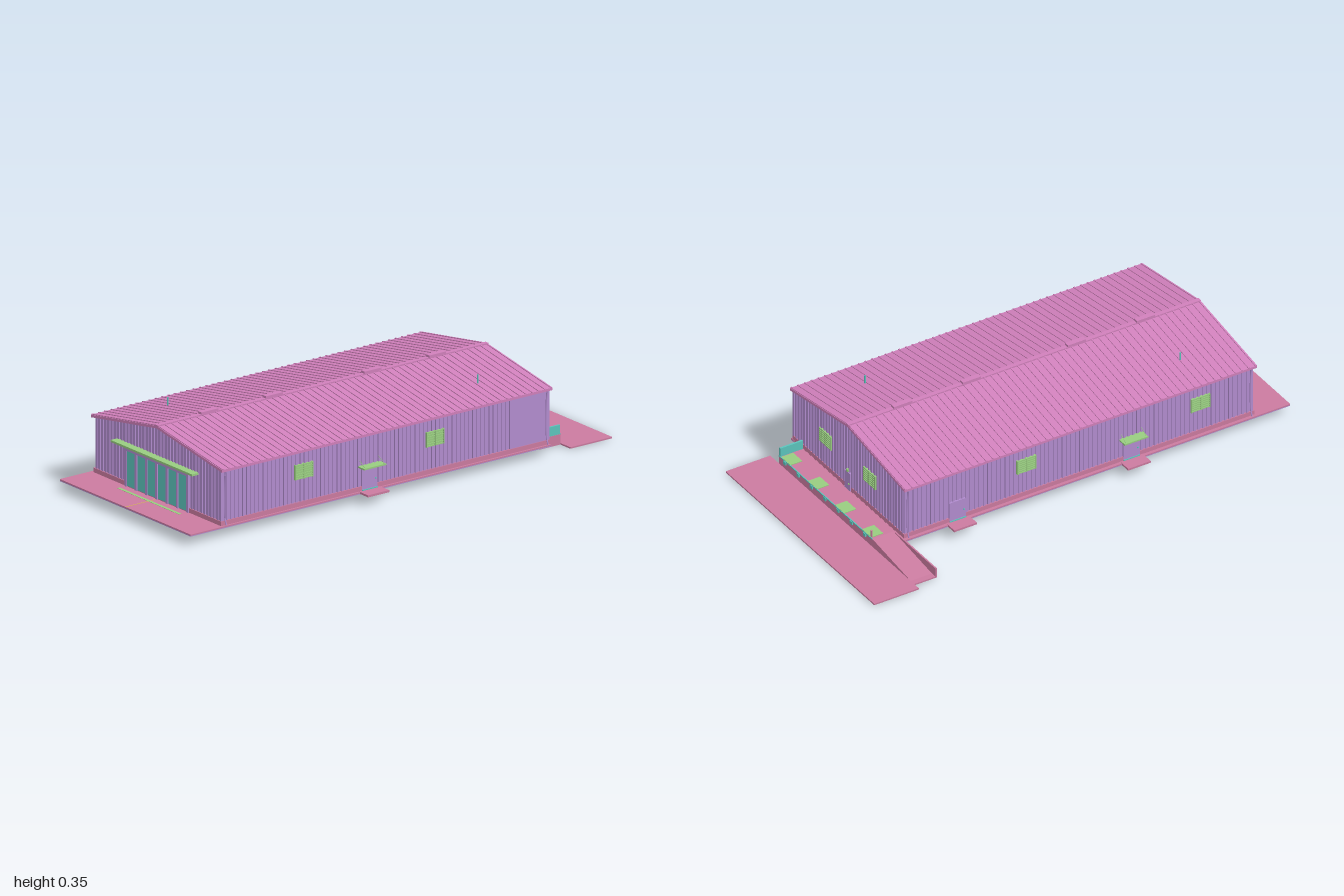
import * as THREE from 'three';
import { mergeGeometries } from 'three/addons/utils/BufferGeometryUtils.js';

const mat = (name, color) => {
  const m = new THREE.MeshStandardMaterial({ color });
  m.name = name;
  return m;
};

export function createModel() {
  const wall = mat('lavender cladding', 0xb28ccf);
  const roofM = mat('pink roof sheet', 0xd080bb);
  const concrete = mat('rose concrete', 0xcb7ba0);
  const green = mat('green trim', 0x98cc80);
  const teal = mat('teal fittings', 0x5cc4bc);
  const yellow = mat('yellow line', 0xd8b060);

  const model = new THREE.Group();
  model.name = 'warehouse';

  // Box geometry given by its limits
  const slab = (x0, x1, y0, y1, z0, z1) =>
    new THREE.BoxGeometry(x1 - x0, y1 - y0, z1 - z0)
      .translate((x0 + x1) / 2, (y0 + y1) / 2, (z0 + z1) / 2);
  const add = (name, geo, m) => {
    const mesh = new THREE.Mesh(geo, m);
    mesh.name = name;
    model.add(mesh);
    return mesh;
  };
  const box = (name, m, ...limits) => add(name, slab(...limits), m);
  // Cross-section in (z, y) swept along x
  const sweep = (points, x0, x1) =>
    new THREE.ExtrudeGeometry(
      new THREE.Shape(points.map(([z, y]) => new THREE.Vector2(-z, y))),
      { depth: x1 - x0, bevelEnabled: false }
    ).rotateY(Math.PI / 2).translate(x0, 0, 0);

  const ZC = 0.1, X0 = -0.845, X1 = 0.698, HALF = 0.386;
  const zF = ZC + HALF, zB = ZC - HALF;
  const roofY = (z) => 0.333 - 0.163 * Math.abs(z - ZC);

  // Ground floor: purple underside, concrete top and plinth
  box('floorUnderside', wall, -1, 0.703, 0.034, 0.037, -0.305, 0.5);
  box('floorSlab', concrete, -1, 0.703, 0.037, 0.042, -0.305, 0.5);
  box('plinth', concrete, X0 - 0.006, X1 + 0.004, 0.042, 0.06, zB - 0.006, zF + 0.006);

  // Wall body with gable ends
  const under = (z) => roofY(z) - 0.009;
  add('wallBody', sweep([[zB, 0.055], [zF, 0.055], [zF, under(zF)], [ZC, under(ZC)], [zB, under(zB)]], X0, X1), wall);

  // Vertical cladding ribs on the long walls and the gables
  const ribs = [];
  const D = 0.004, W = 0.009;
  for (let i = 0; i < 80; i++) {
    const x = X0 + 0.006 + i * 0.0194;
    ribs.push(slab(x - W / 2, x + W / 2, 0.06, under(zB), zB - D, zB));
    if (x < 0.52) ribs.push(slab(x - W / 2, x + W / 2, 0.06, under(zF), zF, zF + D));
  }
  for (let i = 0; i < 40; i++) {
    const z = zB + 0.007 + i * 0.0196;
    const top = Math.min(under(z - W / 2), under(z + W / 2));
    ribs.push(slab(X1, X1 + D, 0.06, top, z - W / 2, z + W / 2));
    ribs.push(slab(X0 - D, X0, 0.06, top, z - W / 2, z + W / 2));
  }
  add('claddingRibs', mergeGeometries(ribs), wall);
  box('plainFrontPanel', wall, 0.52, 0.7, 0.06, under(zF), zF, zF + D);

  // Pitched roof with standing ribs
  const e0 = ZC - 0.403, e1 = ZC + 0.403;
  const chevron = (lift, thick) => [
    [e0, roofY(e0) + lift - thick], [ZC, roofY(ZC) + lift - thick], [e1, roofY(e1) + lift - thick],
    [e1, roofY(e1) + lift], [ZC, roofY(ZC) + lift], [e0, roofY(e0) + lift]];
  add('roof', sweep(chevron(0, 0.01), -0.855, 0.706), roofM);
  const seams = [];
  for (let i = 0; i <= 52; i++) {
    const x = -0.852 + i * 0.0298;
    seams.push(sweep(chevron(0.003, 0.004), x, x + 0.006));
  }
  add('roofRibs', mergeGeometries(seams), roofM);
  box('ridgeCap', roofM, -0.855, 0.706, 0.328, 0.337, ZC - 0.009, ZC + 0.009);
  for (const x of [-0.61, -0.305, 0.16, 0.465])
    box('ridgeVent', roofM, x - 0.04, x + 0.04, 0.335, 0.346, ZC - 0.011, ZC + 0.011);
  for (const [x, z] of [[-0.61, -0.15], [0.47, 0.35]])
    add('roofPipe', new THREE.CylinderGeometry(0.003, 0.003, 0.04, 8).translate(x, 0.307, z), teal);

  // Gutters and corner downpipes
  for (const s of [-1, 1]) {
    const z = ZC + s * 0.398;
    box('gutter', roofM, -0.85, 0.703, 0.258, 0.267, z - 0.005, z + 0.005);
    for (const x of [X0 + 0.012, X1 - 0.012]) {
      const path = new THREE.CatmullRomCurve3([
        [0.26, 0.398], [0.235, 0.393], [0.07, 0.393], [0.045, 0.402],
      ].map(([y, d]) => new THREE.Vector3(x, y, ZC + s * d)));
      add('downpipe', new THREE.TubeGeometry(path, 12, 0.003, 6), wall);
    }
  }

  // Items built facing +z in a local frame, then turned onto a wall
  const onWall = (name, x, y, z, turn, parts) => {
    const g = new THREE.Group();
    g.name = name;
    for (const [part, m, ...limits] of parts) {
      const mesh = new THREE.Mesh(slab(...limits), m);
      mesh.name = part;
      g.add(mesh);
    }
    g.position.set(x, y, z);
    g.rotation.y = turn;
    model.add(g);
  };

  // Louvred windows with cross bars
  const windowParts = [['windowPane', green, -0.038, 0.038, -0.029, 0.029, 0, 0.006]];
  for (let i = 0; i < 7; i++) {
    const y = -0.027 + i * 0.009;
    windowParts.push(['windowLouvre', green, -0.04, 0.04, y - 0.002, y + 0.002, 0.006, 0.009]);
  }
  for (const x of [-0.04, 0, 0.04])
    windowParts.push(['windowPost', green, x - 0.002, x + 0.002, -0.03, 0.03, 0, 0.01]);
  for (const x of [-0.46, 0.16]) onWall('frontWindow', x, 0.18, zF, 0, windowParts);
  for (const x of [-0.61, 0.16]) onWall('backWindow', x, 0.18, zB, Math.PI, windowParts);
  for (const z of [0.255, -0.055]) onWall('sideWindow', X1, 0.18, z, Math.PI / 2, windowParts);

  // Personnel doors with step, canopy and stay rods
  const door = (x, z, turn, canopy) => {
    const parts = [
      ['door', wall, -0.036, 0.036, 0.042, 0.128, 0, 0.008],
      ['doorSill', teal, -0.036, 0.036, 0.042, 0.047, 0, 0.011],
      ['doorHandle', teal, 0.024, 0.03, 0.08, 0.084, 0.008, 0.012],
      ['step', concrete, -0.05, 0.05, 0.035, 0.043, 0.005, 0.063],
    ];
    if (canopy) {
      parts.push(['canopy', green, -0.052, 0.052, 0.136, 0.142, 0, 0.042]);
    }
    onWall('doorway', x, 0, z, turn, parts);
    if (!canopy) return;
    const s = turn ? -1 : 1;
    for (const dx of [-0.045, 0.045]) {
      const path = new THREE.LineCurve3(
        new THREE.Vector3(x + dx, 0.142, z + s * 0.04), new THREE.Vector3(x + dx, 0.166, z));
      add('canopyStay', new THREE.TubeGeometry(path, 1, 0.001, 5), green);
    }
  };
  door(-0.15, zF, 0, true);
  door(-0.305, zB, Math.PI, true);
  door(0.465, zB, Math.PI, false);
  onWall('sideDoor', X1, 0, ZC, Math.PI / 2, [
    ['door', wall, -0.02, 0.02, 0.042, 0.12, 0, 0.008],
    ['doorHandle', green, 0.01, 0.016, 0.07, 0.076, 0.008, 0.012],
    ['doorLamp', green, -0.005, 0.005, 0.122, 0.132, 0, 0.01],
  ]);

  // Large entrance on the right-hand gable
  const entrance = [['entranceGlass', teal, -0.19, 0.19, 0.045, 0.19, 0, 0.007]];
  for (let i = 0; i <= 6; i++) {
    const x = -0.19 + i * 0.38 / 6;
    entrance.push(['entrancePost', wall, x - 0.006, x + 0.006, 0.042, 0.195, 0, 0.011]);
  }
  entrance.push(['entranceHeader', wall, -0.196, 0.196, 0.185, 0.2, 0, 0.012]);
  entrance.push(['entranceCanopy', green, -0.25, 0.25, 0.206, 0.214, 0, 0.034]);
  entrance.push(['groundDrain', green, -0.19, 0.19, 0.033, 0.043, 0.037, 0.049]);
  onWall('entrance', X0, 0, ZC, -Math.PI / 2, entrance);
  box('groundLine', yellow, -1, -0.86, 0.042, 0.043, ZC - 0.002, ZC + 0.002);

  // Loading dock, bumpers, leveller plates and end guards
  box('dock', concrete, 0.703, 0.803, 0, 0.041, -0.23, 0.425);
  box('dockEdge', teal, 0.801, 0.805, 0.039, 0.043, -0.23, 0.425);
  for (let i = 0; i < 7; i++) {
    const z = -0.18 + i * 0.0935;
    box('dockBumper', teal, 0.8, 0.808, 0.027, 0.04, z - 0.008, z + 0.008);
  }
  for (const z of [-0.19, 0, 0.19, 0.378])
    box('dockPlate', green, 0.75, 0.803, 0.041, 0.044, z - 0.032, z + 0.032);
  box('dockGuard', teal, 0.703, 0.803, 0.041, 0.078, 0.416, 0.424);
  box('dockPost', concrete, 0.796, 0.802, 0.041, 0.072, -0.222, -0.215);

  // Ramp with a side wall, and the outer apron
  add('ramp', sweep([[-0.23, 0], [-0.23, 0.041], [-0.5, 0.006], [-0.525, 0.006], [-0.525, 0]].reverse(), 0.708, 0.803), concrete);
  box('rampWall', concrete, 0.703, 0.709, 0, 0.042, -0.525, -0.23);
  box('apron', concrete, 0.803, 1, 0, 0.006, -0.557, 0.487);

  return model;
}
